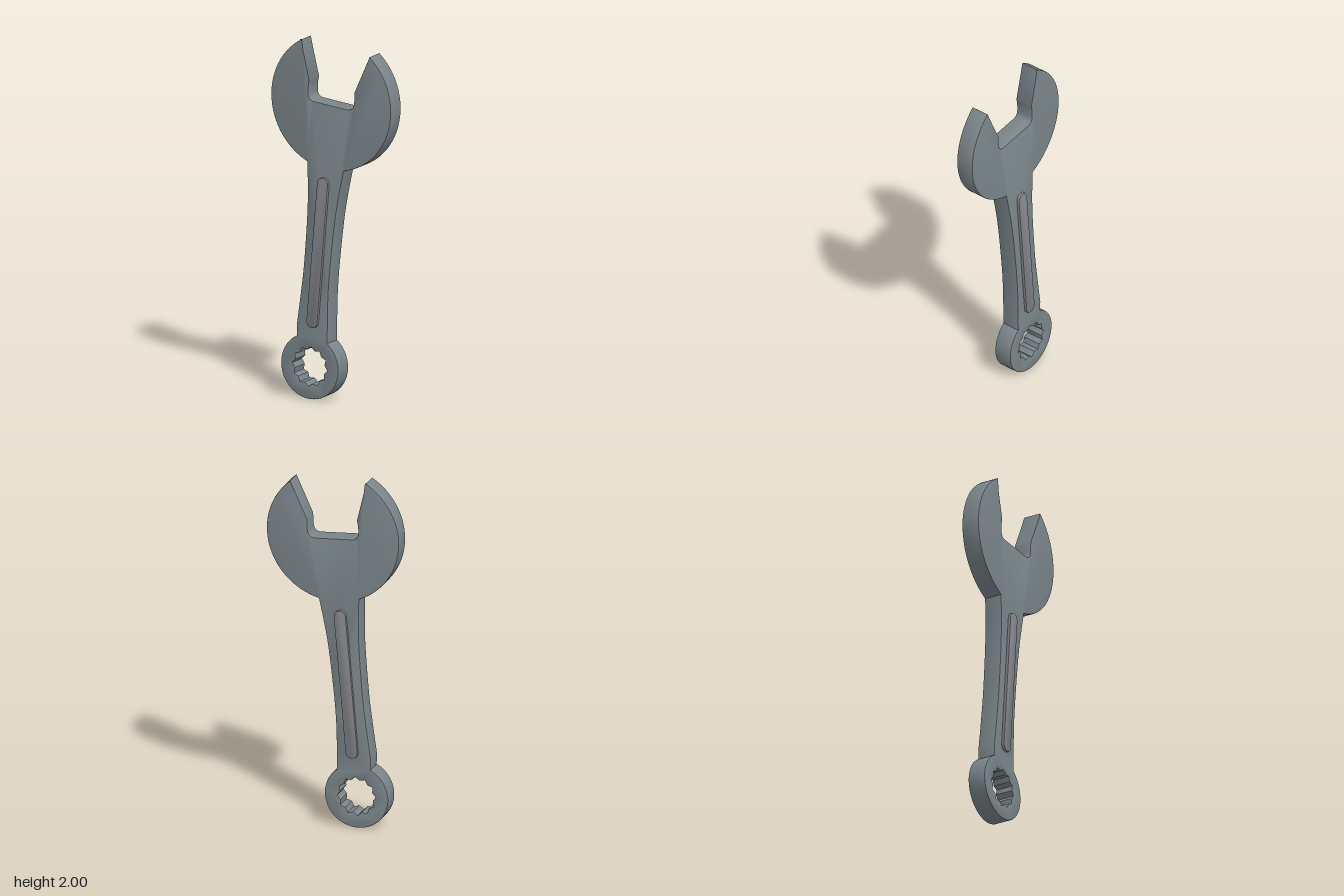
import * as THREE from 'three';
import { toCreasedNormals } from 'three/addons/utils/BufferGeometryUtils.js';

const HEAD = { x: 0, y: 1.67, r: 0.378 };
const RING = { x: -0.135, y: 0.181, r: 0.181 };

// Extrude a shape to full depth, centred on z = 0, with a fine edge bevel
function slab(shape, depth, bevel, color, name) {
  const geometry = new THREE.ExtrudeGeometry(shape, {
    depth: depth - 2 * bevel, curveSegments: 32,
    bevelEnabled: true, bevelThickness: bevel, bevelSize: bevel, bevelOffset: -bevel, bevelSegments: 2,
  });
  geometry.translate(0, 0, -depth / 2 + bevel);
  const mesh = new THREE.Mesh(
    toCreasedNormals(geometry, 0.5),
    new THREE.MeshStandardMaterial({ color }),
  );
  mesh.name = name;
  return mesh;
}

const points = (list) => list.map(([x, y]) => new THREE.Vector2(x, y));

// Clockwise outline: open head, tapering shank, ring end
function bodyShape() {
  const s = new THREE.Shape();
  // jaw opening, left tip to right tip
  s.moveTo(-0.19, 1.997);
  s.lineTo(-0.137, 1.777);
  s.quadraticCurveTo(-0.145, 1.75, -0.145, 1.71);
  s.quadraticCurveTo(-0.145, 1.667, -0.11, 1.664);
  s.lineTo(0.108, 1.646);
  s.quadraticCurveTo(0.142, 1.65, 0.145, 1.69);
  s.lineTo(0.148, 1.75);
  s.lineTo(0.244, 1.959);
  // right cheek, right shank edge
  s.absarc(HEAD.x, HEAD.y, HEAD.r, 0.869, -1.358, true);
  s.splineThru(points([[0.034, 1.075], [0.003, 0.836], [-0.018, 0.6], [-0.024, 0.323]]));
  // round ring end
  s.absarc(RING.x, RING.y, RING.r, 0.91, 2.03 - Math.PI * 2, true);
  // left shank edge, left cheek
  s.lineTo(-0.218, 0.4);
  s.splineThru(points([[-0.19, 0.6], [-0.17, 0.77], [-0.149, 1.075], [-0.15, 1.323]]));
  s.absarc(HEAD.x, HEAD.y, HEAD.r, -1.979, -4.188, true);

  // twelve-point socket
  const hole = new THREE.Path();
  const count = 12;
  for (let i = 0; i <= count * 2; i++) {
    const a = (i * Math.PI) / count + Math.PI / 2 - 0.07;
    const r = i % 2 ? 0.094 : 0.11;
    const x = RING.x + r * Math.cos(a), y = RING.y + r * Math.sin(a);
    i ? hole.lineTo(x, y) : hole.moveTo(x, y);
  }
  s.holes.push(hole);
  return s;
}

// Slanted pill running along the shank
function ribShape() {
  const top = new THREE.Vector2(-0.045, 1.214), bottom = new THREE.Vector2(-0.112, 0.436);
  const side = Math.atan2(top.y - bottom.y, top.x - bottom.x) - Math.PI / 2;
  const s = new THREE.Shape();
  s.absarc(top.x, top.y, 0.034, side, side + Math.PI);
  s.absarc(bottom.x, bottom.y, 0.034, side + Math.PI, side + Math.PI * 2);
  s.closePath();
  return s;
}

export function createModel() {
  const group = new THREE.Group();
  group.name = 'wrench';
  group.add(slab(bodyShape(), 0.104, 0.004, 0x7b868a, 'body'));

  // raised ribs on the front and back of the shank
  for (const [name, sign] of [['frontRib', 1], ['backRib', -1]]) {
    const rib = slab(ribShape(), 0.03, 0.002, 0x838489, name);
    rib.position.z = sign * 0.053;
    group.add(rib);
  }
  return group;
}
